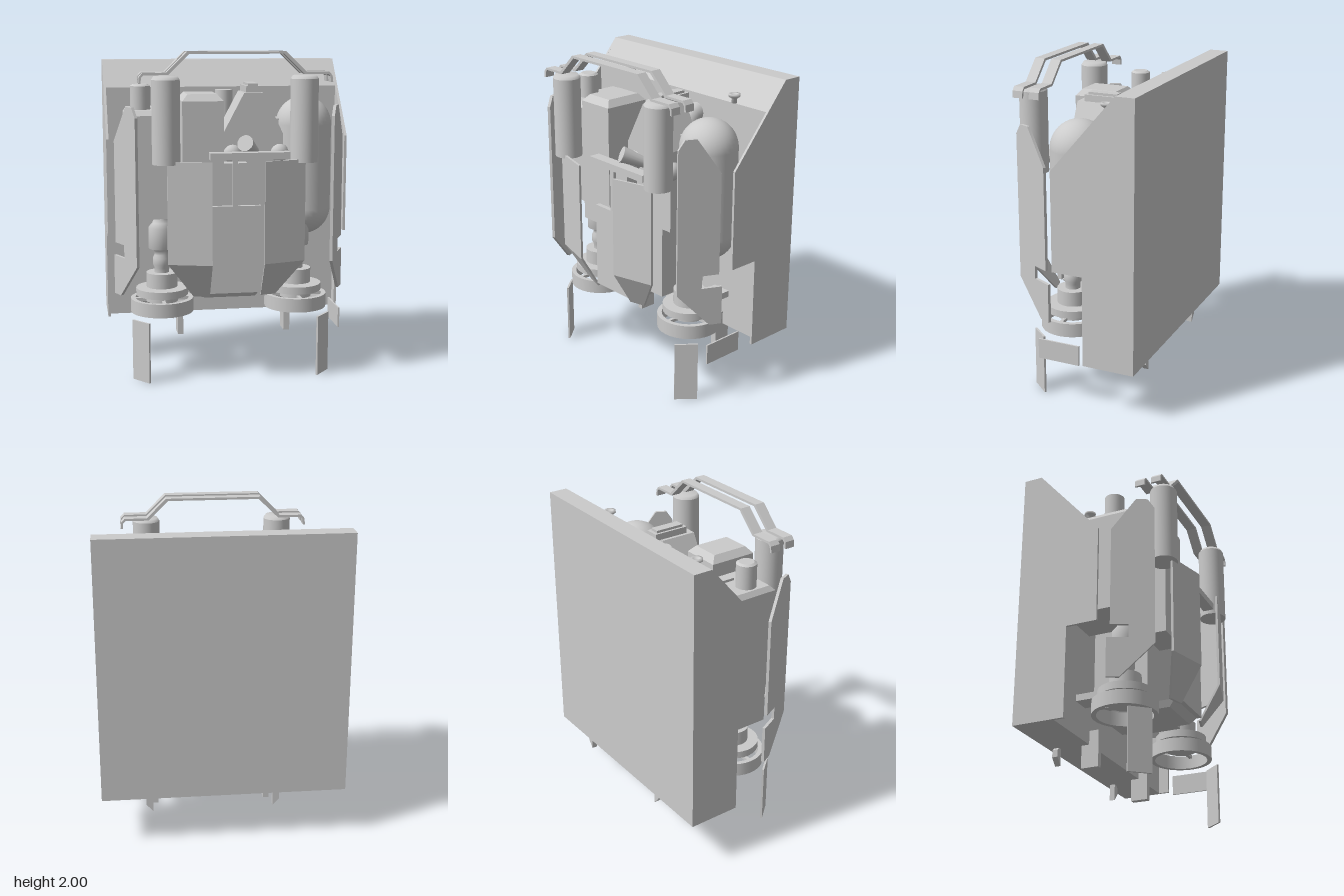
import * as THREE from 'three';
import { ConvexGeometry } from 'three/addons/geometries/ConvexGeometry.js';

const V = (x, y, z) => new THREE.Vector3(x, y, z);

export function createModel() {
  const root = new THREE.Group();
  const smooth = new THREE.MeshStandardMaterial({ color: 0xcccccc, side: THREE.DoubleSide });
  const flat = new THREE.MeshStandardMaterial({ color: 0xcccccc, side: THREE.DoubleSide, flatShading: true });

  const add = (name, geo, mat = flat, x = 0, y = 0, z = 0) => {
    const m = new THREE.Mesh(geo, mat);
    m.name = name;
    m.position.set(x, y, z);
    root.add(m);
    return m;
  };
  // Box given by its limits
  const box = (name, x0, x1, y0, y1, z0, z1) =>
    add(name, new THREE.BoxGeometry(x1 - x0, y1 - y0, z1 - z0), flat, (x0 + x1) / 2, (y0 + y1) / 2, (z0 + z1) / 2);
  // Upright cylinder given by its limits
  const cyl = (name, r, y0, y1, x, z, rTop = r) =>
    add(name, new THREE.CylinderGeometry(rTop, r, y1 - y0, 24), smooth, x, (y0 + y1) / 2, z);
  const lathe = (name, pts, x, y, z) =>
    add(name, new THREE.LatheGeometry(pts.map(p => new THREE.Vector2(...p)), 32), smooth, x, y, z);
  const extrude = (pts, depth) =>
    new THREE.ExtrudeGeometry(new THREE.Shape(pts.map(p => new THREE.Vector2(...p))), { depth, bevelEnabled: false });
  // Profile in (z, y), extruded along x from x0
  const sideProfile = (name, pts, x0, width) => {
    const m = add(name, extrude(pts.map(([z, y]) => [-z, y]), width), flat, x0, 0, 0);
    m.rotation.y = Math.PI / 2;
    return m;
  };
  // Convex sheet: corners plus the same corners pushed back
  const sheet = (name, pts, t) =>
    add(name, new ConvexGeometry(pts.flatMap(([x, y, z]) => [V(x, y, z), V(x, y, z - t)])), flat);
  const pipe = (name, pts, r) =>
    add(name, new THREE.TubeGeometry(new THREE.CatmullRomCurve3(pts.map(p => V(...p))), 20, r, 12), smooth);

  // Housing: back block and two side walls
  sideProfile('backHousing', [[-0.455, 0.315], [-0.455, 1.93], [-0.34, 1.93], [-0.2, 1.765], [-0.2, 0.315]], -0.735, 1.47);
  for (const s of [-1, 1]) {
    sideProfile('housingSideWall', [[-0.455, 0.315], [-0.455, 1.93], [-0.34, 1.93], [0.055, 1.47],
      [0.055, 0.87], [-0.135, 0.87], [-0.135, 0.315]], s > 0 ? 0.73 : -0.745, 0.015);
  }

  for (const s of [-1, 1]) {
    // Slanted side fins with a notch in the rear edge
    const fin = [[0, 0.74], [0, 1.62], [0.04, 1.68], [0.11, 1.68], [0.255, 1.47], [0.255, 0.85], [0.15, 0.85],
      [0.15, 0.77], [0.275, 0.77], [0.275, 0.53], [0.2, 0.53]];
    const f = add('sideFin', extrude(fin.map(([u, y]) => [s * u, y]), 0.018), flat, s * 0.575, 0, 0.34);
    f.rotation.y = s * 1.12;

    // Front cowl: upper sheet and folded lower sheet
    sheet('frontCowl', [[s * 0.155, 1.37, 0.455], [s * 0.41, 1.37, 0.385], [s * 0.41, 0.76, 0.385], [s * 0.155, 0.76, 0.455]], 0.015);
    sheet('lowerCowl', [[s * 0.155, 0.76, 0.455], [s * 0.41, 0.76, 0.385], [s * 0.25, 0.54, 0.3], [s * 0.155, 0.54, 0.325]], 0.015);

    // Front canisters
    lathe('frontCanister', [[0, 1.35], [0.083, 1.35], [0.083, 1.35], [0.083, 1.84], [0.083, 1.84], [0.07, 1.86], [0, 1.86]], s * 0.41, 0, 0.33);

    // Thruster: stacked column, disc and open ring
    const tx = s * 0.42, tz = 0.085;
    lathe('thrusterColumn', [[0.04, 1.2], [0.04, 1.0], [0.055, 0.96], [0.08, 0.93], [0.08, 0.8], [0.045, 0.79], [0.045, 0.76],
      [0.055, 0.74], [0.055, 0.7], [0.045, 0.68], [0.045, 0.65]], tx, 0, tz);
    cyl('thrusterCollar', 0.095, 0.56, 0.65, tx, tz);
    cyl('thrusterDisc', 0.16, 0.51, 0.555, tx, tz);
    cyl('thrusterHub', 0.1, 0.47, 0.51, tx, tz);
    lathe('thrusterRing', [[0.165, 0.405], [0.193, 0.405], [0.193, 0.405], [0.193, 0.49], [0.193, 0.49], [0.165, 0.49],
      [0.165, 0.49], [0.165, 0.405]], tx, 0, tz);
    box('thrusterArm', tx - 0.06, tx + 0.06, 0.52, 0.56, -0.2, 0.02);
    for (const a of [0, Math.PI / 2]) {
      const spoke = add('ringSpoke', new THREE.BoxGeometry(0.34, 0.02, 0.02), flat, tx, 0.48, tz);
      spoke.rotation.y = a;
    }

    // Hanging outer vane
    const leg = add('hangingVane', new THREE.BoxGeometry(0.14, 0.375, 0.012), flat, s * 0.5625, 0.1925, 0.24);
    leg.rotation.y = s * 0.86;

    // Small warning lamp on the housing
    lathe('topLamp', [[0, 0], [0.015, 0], [0.015, 0.025], [0.035, 0.04], [0.035, 0.055], [0.02, 0.055], [0.015, 0.045], [0, 0.045]],
      s > 0 ? 0.5 : -0.395, 1.775, -0.18);
  }

  // Lower rear vanes
  box('rearVane', -0.3, -0.265, 0.175, 0.4, -0.25, -0.14);
  box('rearVane', 0.395, 0.435, 0.175, 0.4, -0.25, -0.14);
  for (const [x, s] of [[-0.3, -1], [0.435, 1]])
    add('vaneTab', extrude([[0, 0.335], [s * 0.04, 0.3], [s * 0.04, 0.255], [0, 0.21]], 0.035), flat, x, 0, -0.42);
  box('sideVane', 0.675, 0.685, 0.275, 0.4, -0.08, 0.185);

  // Twin carrying handles: bent strips
  const half = [[0.57, 1.82], [0.565, 1.86], [0.545, 1.882], [0.41, 1.882], [0.29, 2.0]];
  const lower = [[0.278, 1.986], [0.4, 1.868], [0.54, 1.868], [0.553, 1.855], [0.557, 1.82]];
  const flip = a => a.map(([x, y]) => [-x, y]).reverse();
  const strip = [...half, ...flip(half), ...flip(lower), ...lower];
  for (const z of [0.315, 0.21]) add('handle', extrude(strip, 0.063), flat, 0, 0, z);

  // Round-ended tank
  add('tank', new THREE.CapsuleGeometry(0.172, 0.52, 12, 32), smooth, 0.48, 1.283, 0);
  box('tankLink', 0.2, 0.34, 1.45, 1.58, -0.08, 0.04);

  // Left equipment box with filler cap
  box('equipmentBox', -0.63, -0.33, 1.0, 1.62, -0.2, 0.2);
  sheet('equipmentLid', [[-0.63, 1.62, 0.2], [-0.33, 1.62, 0.2], [-0.35, 1.65, 0.17], [-0.61, 1.65, 0.17]], 0.37);
  cyl('fillerCap', 0.06, 1.65, 1.79, -0.537, 0.06);
  cyl('fillerCapTop', 0.06, 1.79, 1.8, -0.537, 0.06, 0.045);
  box('boxSwitch', -0.44, -0.38, 1.65, 1.665, -0.03, 0.05);

  // Middle box with chamfered top
  box('middleBox', -0.31, -0.065, 0.95, 1.71, 0, 0.295);
  add('middleBoxTop', new ConvexGeometry([[0, 1.71], [0.035, 1.75]].flatMap(([i, y]) =>
    [[-0.31 + i, i], [-0.065 - i, i], [-0.065 - i, 0.295 - i], [-0.31 + i, 0.295 - i]].map(([x, z]) => V(x, y, z)))));

  // Tapered pump housing with cap
  add('pumpHousing', extrude([[-0.06, 1.0], [-0.06, 1.48], [0.08, 1.745], [0.2, 1.745], [0.32, 1.5], [0.32, 1.0]], 0.23), flat, 0, 0, -0.08);
  box('pumpCap', 0.1, 0.19, 1.745, 1.785, -0.115, 0.11);
  box('pumpCapTop', 0.115, 0.175, 1.785, 1.8, -0.095, 0.09);

  // Pipes behind the boxes
  for (const x of [-0.24, -0.17, -0.1])
    pipe('rearPipe', [[x, 1.62, -0.21], [x, 1.58, -0.1], [x, 1.4, 0.0], [x, 1.0, 0.02]], 0.027);
  cyl('rearCylinder', 0.055, 0.9, 1.75, 0.0, -0.14);
  pipe('elbowPipe', [[0.17, 1.2, -0.13], [0.17, 1.58, -0.13], [0.17, 1.64, -0.17], [0.17, 1.65, -0.22]], 0.06);
  for (const x of [0.01, 0.3]) add('roundFitting', new THREE.SphereGeometry(0.06, 16, 12), smooth, x, 1.38, 0.13);

  // Centre core, recessed panel, column and cross bar
  box('core', -0.25, 0.25, 0.55, 1.15, -0.2, 0.15);
  box('centrePanel', -0.155, 0.155, 0.56, 1.09, 0.3, 0.33);
  sheet('coreBase', [[-0.2, 0.56, 0.3], [0.15, 0.56, 0.3], [0.13, 0.52, 0.26], [-0.18, 0.52, 0.26]], 0.45);
  box('centreColumn', -0.015, 0.015, 1.09, 1.37, 0.31, 0.33);
  box('valveBox', -0.09, 0.08, 1.2, 1.34, 0.2, 0.28);
  const nozzle = add('valveNozzle', new THREE.CylinderGeometry(0.05, 0.03, 0.16, 16), smooth, 0.1, 1.43, 0.24);
  nozzle.rotation.set(1.1, 0, 0.5);
  box('crossBar', -0.155, 0.32, 1.37, 1.412, 0.3, 0.37);

  return root;
}
